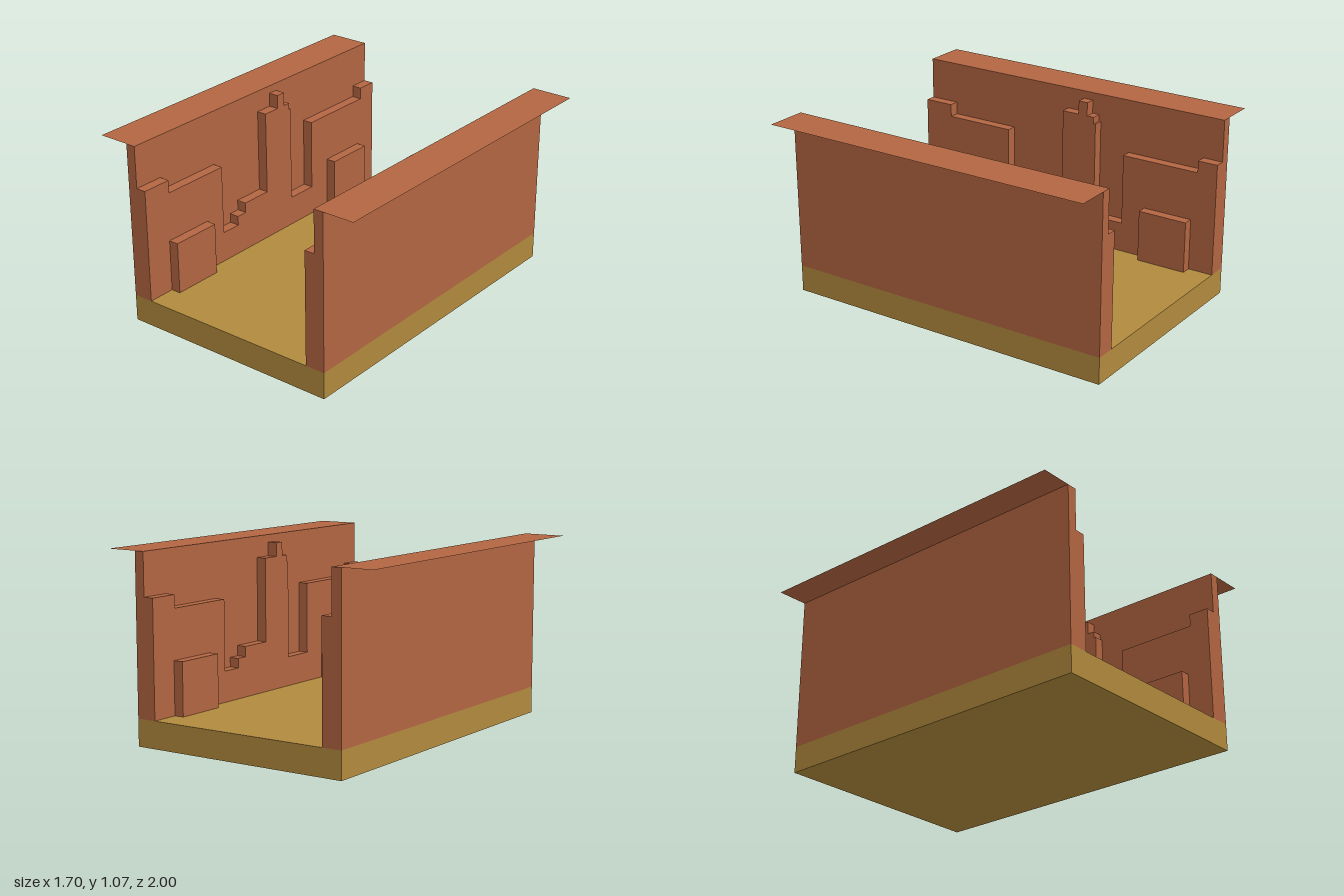
import * as THREE from 'three';

const clay = new THREE.MeshStandardMaterial({ color: 0xb26541, flatShading: true });
const clayThin = new THREE.MeshStandardMaterial({ color: 0xb26541, side: THREE.DoubleSide });
const sand = new THREE.MeshStandardMaterial({ color: 0xb18a3d, flatShading: true });

const FLOOR = 0.155, TOP = 1.065;

function part(name, geometry, material) {
  const mesh = new THREE.Mesh(geometry, material);
  mesh.name = name;
  return mesh;
}

// Box given by its limits on each axis
function block(name, [x0, x1], [y0, y1], [z0, z1], material) {
  const g = new THREE.BoxGeometry(x1 - x0, y1 - y0, z1 - z0);
  g.translate((x0 + x1) / 2, (y0 + y1) / 2, (z0 + z1) / 2);
  return part(name, g, material);
}

// Stepped skyline panel: each step is [z where it ends, height], from z = -1 forwards
function steppedPanel() {
  const steps = [
    [-0.88, 0.82], [-0.4, 0.75], [-0.21, 0.33], [-0.197, 0.9], [-0.153, 0.94], [-0.095, 1.02],
    [0.012, 0.94], [0.205, 0.45], [0.272, 0.39], [0.395, 0.335], [0.82, 0.745], [1, 0.82],
  ];
  const shape = new THREE.Shape();
  shape.moveTo(-1, FLOOR);
  let z = -1;
  for (const [end, height] of steps) {
    shape.lineTo(z, height);
    shape.lineTo(end, height);
    z = end;
  }
  shape.lineTo(1, FLOOR);
  const g = new THREE.ExtrudeGeometry(shape, { depth: 0.06, bevelEnabled: false });
  g.rotateY(-Math.PI / 2).translate(-0.547, 0, 0);
  return part('steppedPanel', g, clay);
}

// One side wall with its ledge, skyline panel and two low blocks
function sideWall(name) {
  const side = new THREE.Group();
  side.name = name;
  side.add(block('outerWall', [-0.665, -0.607], [FLOOR, TOP], [-1, 1], clay));
  side.add(steppedPanel());
  side.add(block('backLowBlock', [-0.547, -0.488], [FLOOR, 0.46], [-0.85, -0.548], clay));
  side.add(block('frontLowBlock', [-0.547, -0.488], [FLOOR, 0.46], [0.53, 0.835], clay));

  // Flat ledge overhanging outwards
  const ledge = new THREE.PlaneGeometry(0.243, 2);
  ledge.rotateX(-Math.PI / 2).translate(-0.7285, TOP, 0);
  side.add(part('topLedge', ledge, clayThin));
  return side;
}

export function createModel() {
  const model = new THREE.Group();
  model.name = 'walledStreet';
  model.add(block('floor', [-0.665, 0.665], [0, FLOOR], [-1, 1], sand));

  // The second wall is the first turned half way round
  const left = sideWall('leftWall');
  left.rotation.y = Math.PI;
  model.add(sideWall('rightWall'), left);
  return model;
}
